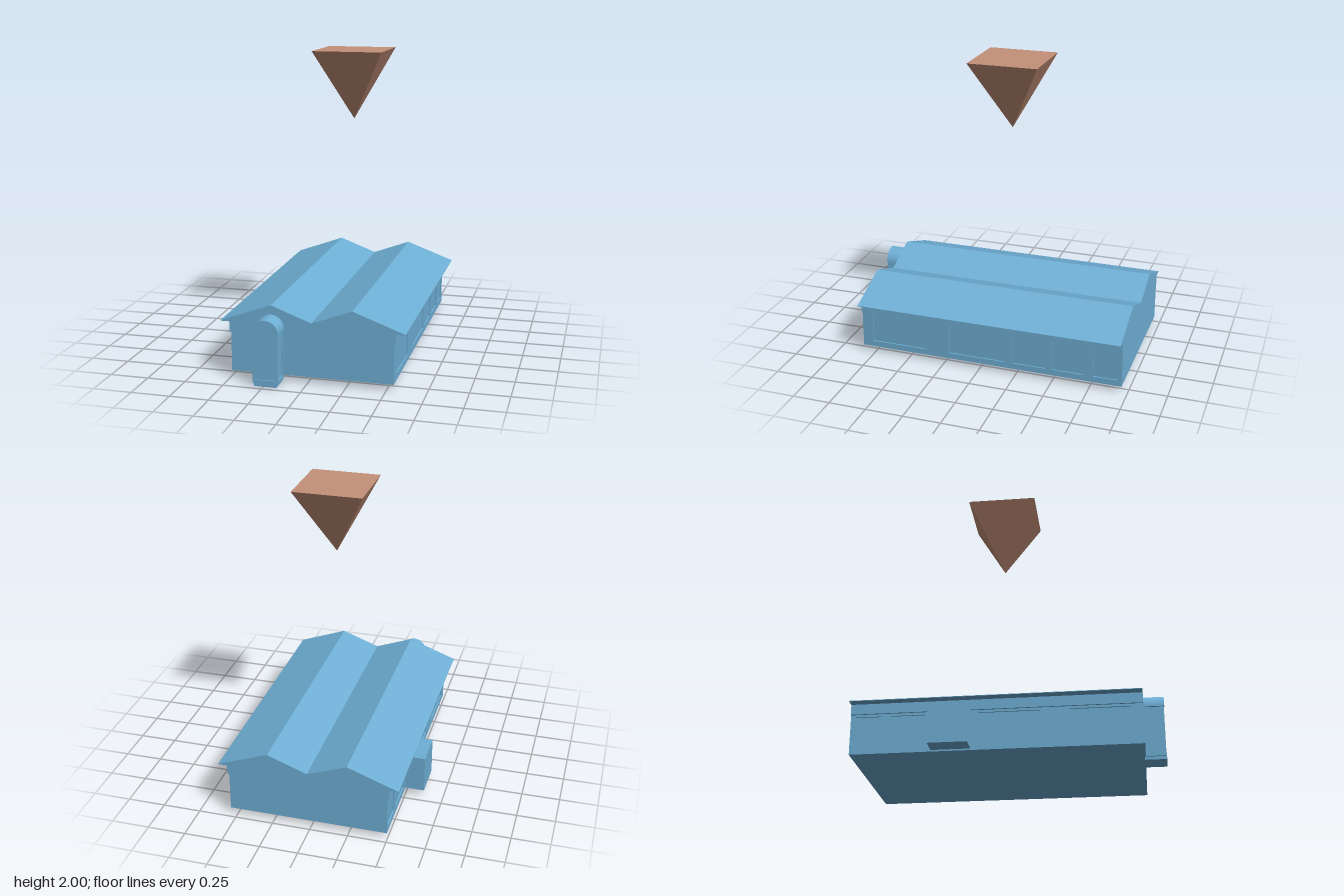
import * as THREE from 'three';

const blue = new THREE.MeshStandardMaterial({ color: 0x6fb0d6, flatShading: true });
const brown = new THREE.MeshStandardMaterial({ color: 0xc49078, flatShading: true });

export function createModel() {
  const model = new THREE.Group();

  const add = (parent, name, geometry, material = blue) => {
    const mesh = new THREE.Mesh(geometry, material);
    mesh.name = name;
    parent.add(mesh);
    return mesh;
  };
  // Box given by its limits on each axis
  const box = (parent, name, x0, x1, y0, y1, z0, z1) =>
    add(parent, name, new THREE.BoxGeometry(x1 - x0, y1 - y0, z1 - z0))
      .position.set((x0 + x1) / 2, (y0 + y1) / 2, (z0 + z1) / 2);
  // Profile in x and y, extruded from z0 to z1
  const extrude = (parent, name, shape, z0, z1) => {
    const g = new THREE.ExtrudeGeometry(shape, { depth: z1 - z0, bevelEnabled: false, curveSegments: 12 });
    add(parent, name, g).position.z = z0;
  };

  const front = 0.835, back = -0.96, floor = 0.04, eave = 0.365;

  // Hall with twin gabled roof, eaves and projecting wall beams
  const hall = new THREE.Group();
  hall.name = 'hall';
  model.add(hall);
  const profile = new THREE.Shape([
    [-0.487, floor], [0.537, floor], [0.537, 0.296], [0.557, 0.296], [0.557, eave - 0.004],
    [0.617, eave - 0.004], [0.617, eave], [0.285, 0.487], [0.025, 0.39], [-0.235, 0.487],
    [-0.567, eave], [-0.567, eave - 0.004], [-0.507, eave - 0.004], [-0.507, 0.296], [-0.487, 0.296],
  ].map(([x, y]) => new THREE.Vector2(x, y)));
  extrude(hall, 'wallsAndRoof', profile, back, front);

  // Side walls: posts, sills and lintels around recessed windows
  const windows = [[-0.93, -0.77], [-0.71, -0.5], [-0.45, -0.23], [-0.17, 0.21], [0.39, 0.76]];
  for (const [name, x0, x1] of [['left', 0.537, 0.546], ['right', -0.496, -0.487]]) {
    const side = new THREE.Group();
    side.name = name + 'WallFrame';
    hall.add(side);
    let z = back;
    for (const [w0, w1] of windows) {
      box(side, 'wallPost', x0, x1, floor, 0.296, z, w0);
      box(side, 'windowSill', x0, x1, floor, 0.08, w0, w1);
      box(side, 'windowLintel', x0, x1, 0.28, 0.296, w0, w1);
      z = w1;
    }
    box(side, 'wallPost', x0, x1, floor, 0.296, z, front);
  }

  // Small annex on the right wall
  box(model, 'annex', -0.625, -0.487, 0.05, 0.296, -0.455, -0.212);

  // Arched entrance porch
  const porch = new THREE.Group();
  porch.name = 'porch';
  porch.position.x = -0.237;
  model.add(porch);
  box(porch, 'porchCore', -0.074, 0.074, 0.02, 0.34, front, 0.956);
  box(porch, 'porchStep', -0.073, 0.073, 0, 0.02, front - 0.005, 0.963);
  for (const s of [-1, 1]) {
    const xs = [s * 0.072, s * 0.082].sort((a, b) => a - b);
    box(porch, 'porchBackPost', ...xs, 0.02, 0.34, front, 0.85);
    box(porch, 'porchFrontPost', ...xs, 0.02, 0.34, 0.943, 0.96);
    box(porch, 'porchSideSill', ...xs, 0.02, 0.042, 0.85, 0.943);
  }
  box(porch, 'porchDoorSill', -0.072, 0.072, 0.02, 0.042, 0.956, 0.963);
  const arch = new THREE.Shape();
  arch.absarc(0, 0.34, 0.087, 0, Math.PI, false);
  arch.closePath();
  extrude(porch, 'porchArch', arch, front, 0.963);

  // Inverted pyramid marker floating above the roof
  const pyramid = new THREE.ConeGeometry(0.23 * Math.SQRT2, 0.46, 4);
  pyramid.rotateY(Math.PI / 4);
  pyramid.rotateX(Math.PI);
  add(model, 'marker', pyramid, brown).position.set(0.075, 1.77, -0.075);

  return model;
}
